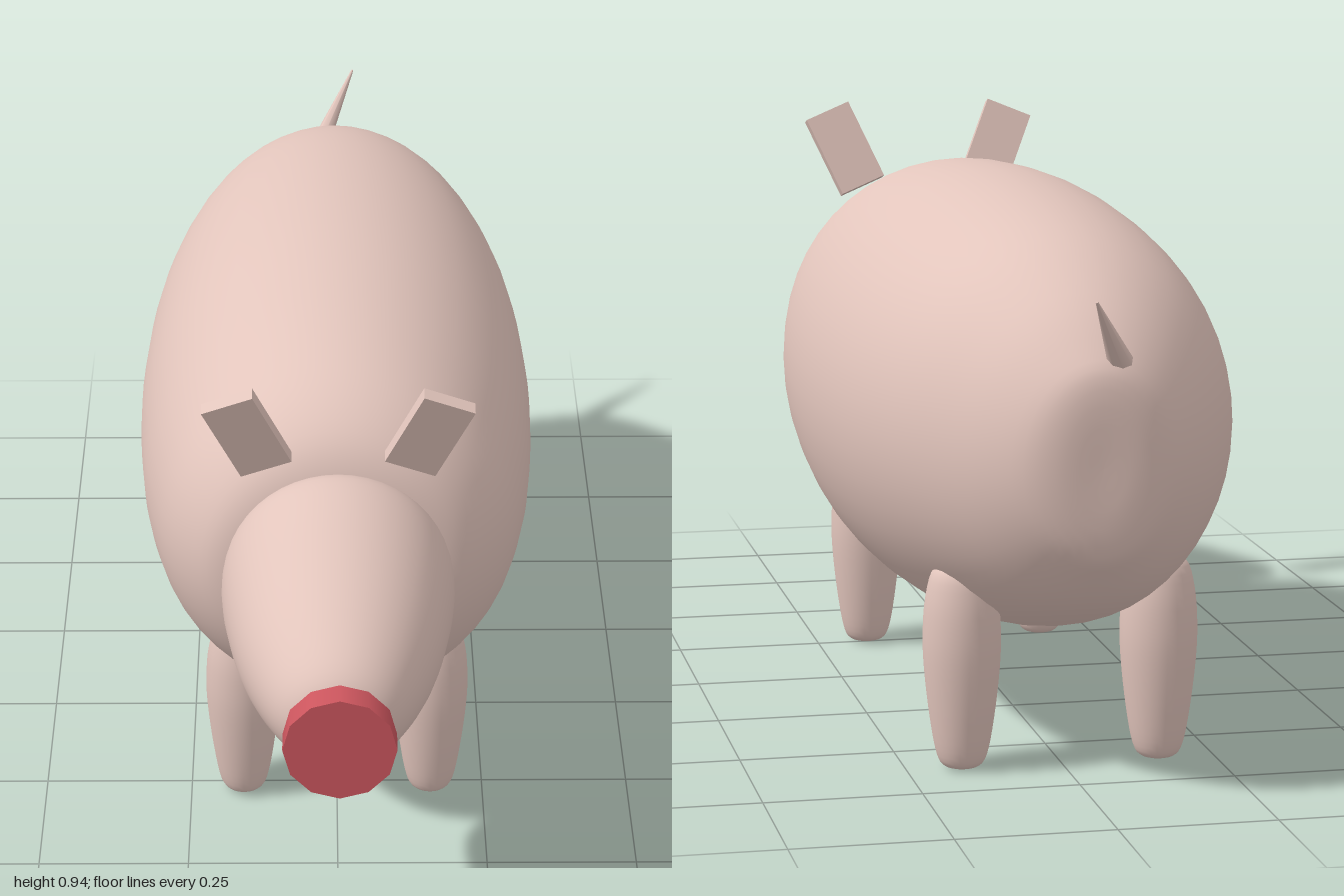
import * as THREE from 'three';

const skin = new THREE.MeshStandardMaterial({ color: 0xe2c5bc });
const snoutRed = new THREE.MeshStandardMaterial({ color: 0xcc565e });

// Smooth skin through elliptical rings [z, centreY, radiusX, radiusY], listed back to front
function loft(rings, sides = 48, steps = 40) {
  const centres = new THREE.CatmullRomCurve3(rings.map(r => new THREE.Vector3(0, r[1], r[0])), false, 'catmullrom', 0.5);
  const radii = new THREE.CatmullRomCurve3(rings.map(r => new THREE.Vector3(r[2], r[3], 0)), false, 'catmullrom', 0.5);
  const pos = [], index = [];
  for (let i = 0; i <= steps; i++) {
    const c = centres.getPoint(i / steps), r = radii.getPoint(i / steps);
    for (let j = 0; j < sides; j++) {
      const a = (j / sides) * Math.PI * 2;
      pos.push(r.x * Math.cos(a), c.y + r.y * Math.sin(a), c.z);
      if (i === steps) continue;
      const k = i * sides + j, n = i * sides + (j + 1) % sides;
      index.push(k, n, k + sides, n, n + sides, k + sides);
    }
  }
  const g = new THREE.BufferGeometry();
  g.setAttribute('position', new THREE.Float32BufferAttribute(pos, 3));
  g.setIndex(index);
  g.computeVertexNormals();
  return g;
}

export function createModel() {
  const model = new THREE.Group();
  model.name = 'pig';
  const add = (name, geometry, material = skin) => {
    const mesh = new THREE.Mesh(geometry, material);
    mesh.name = name;
    model.add(mesh);
    return mesh;
  };

  // Barrel body
  add('body', loft([
    [-0.895, 0.53, 0, 0], [-0.893, 0.53, 0.075, 0.12], [-0.86, 0.53, 0.135, 0.175],
    [-0.77, 0.53, 0.205, 0.25], [-0.62, 0.535, 0.275, 0.31], [-0.4, 0.53, 0.322, 0.35],
    [-0.13, 0.527, 0.338, 0.368], [0.1, 0.53, 0.328, 0.357], [0.25, 0.538, 0.308, 0.333],
    [0.37, 0.55, 0.28, 0.292], [0.45, 0.555, 0.235, 0.238], [0.488, 0.555, 0.185, 0.175],
    [0.497, 0.55, 0.1, 0.1], [0.497, 0.55, 0, 0],
  ], 48, 52));

  // Tapering head
  add('head', loft([
    [0.502, 0.59, 0, 0], [0.503, 0.595, 0.11, 0.11], [0.517, 0.587, 0.16, 0.155],
    [0.555, 0.583, 0.182, 0.188], [0.63, 0.575, 0.181, 0.188], [0.75, 0.562, 0.158, 0.157],
    [0.85, 0.555, 0.125, 0.12], [0.915, 0.55, 0.09, 0.086], [0.942, 0.545, 0.05, 0.05],
    [0.945, 0.545, 0, 0],
  ]));

  // Twelve-sided snout disc
  const snout = add('snout', new THREE.CylinderGeometry(0.086, 0.086, 0.045, 12), snoutRed);
  snout.rotation.x = Math.PI / 2;
  snout.position.set(0, 0.55, 0.9775);

  // Slab ears, splayed outward and tipped forward
  for (const s of [1, -1]) {
    const ear = add(s > 0 ? 'leftEar' : 'rightEar', new THREE.BoxGeometry(0.086, 0.152, 0.022));
    ear.rotation.set(0.31, 0, -s * 0.4);
    ear.position.set(s * 0.142, 0.857, 0.573);
  }

  // Rounded legs, their tops sunk into the belly
  const profile = new THREE.SplineCurve([
    [0, 0], [0.026, 0.003], [0.04, 0.022], [0.051, 0.08], [0.06, 0.16],
    [0.062, 0.22], [0.057, 0.28], [0.042, 0.325], [0, 0.34],
  ].map(p => new THREE.Vector2(...p))).getPoints(32);
  profile.forEach(p => { p.x = Math.max(p.x, 0); p.y = Math.max(p.y, 0); });
  const legGeometry = new THREE.LatheGeometry(profile, 24);
  for (const [end, z] of [['front', 0.264], ['rear', -0.61]]) {
    for (const s of [1, -1]) {
      add(end + (s > 0 ? 'LeftLeg' : 'RightLeg'), legGeometry).position.set(s * 0.16, 0, z);
    }
  }

  // Pointed tail
  const base = new THREE.Vector3(-0.035, 0.685, -0.855), tip = new THREE.Vector3(0.037, 0.8, -1);
  const along = tip.clone().sub(base);
  const tail = add('tail', new THREE.CylinderGeometry(0.002, 0.02, along.length(), 8));
  tail.position.copy(base).add(tip).multiplyScalar(0.5);
  tail.quaternion.setFromUnitVectors(new THREE.Vector3(0, 1, 0), along.normalize());

  return model;
}
